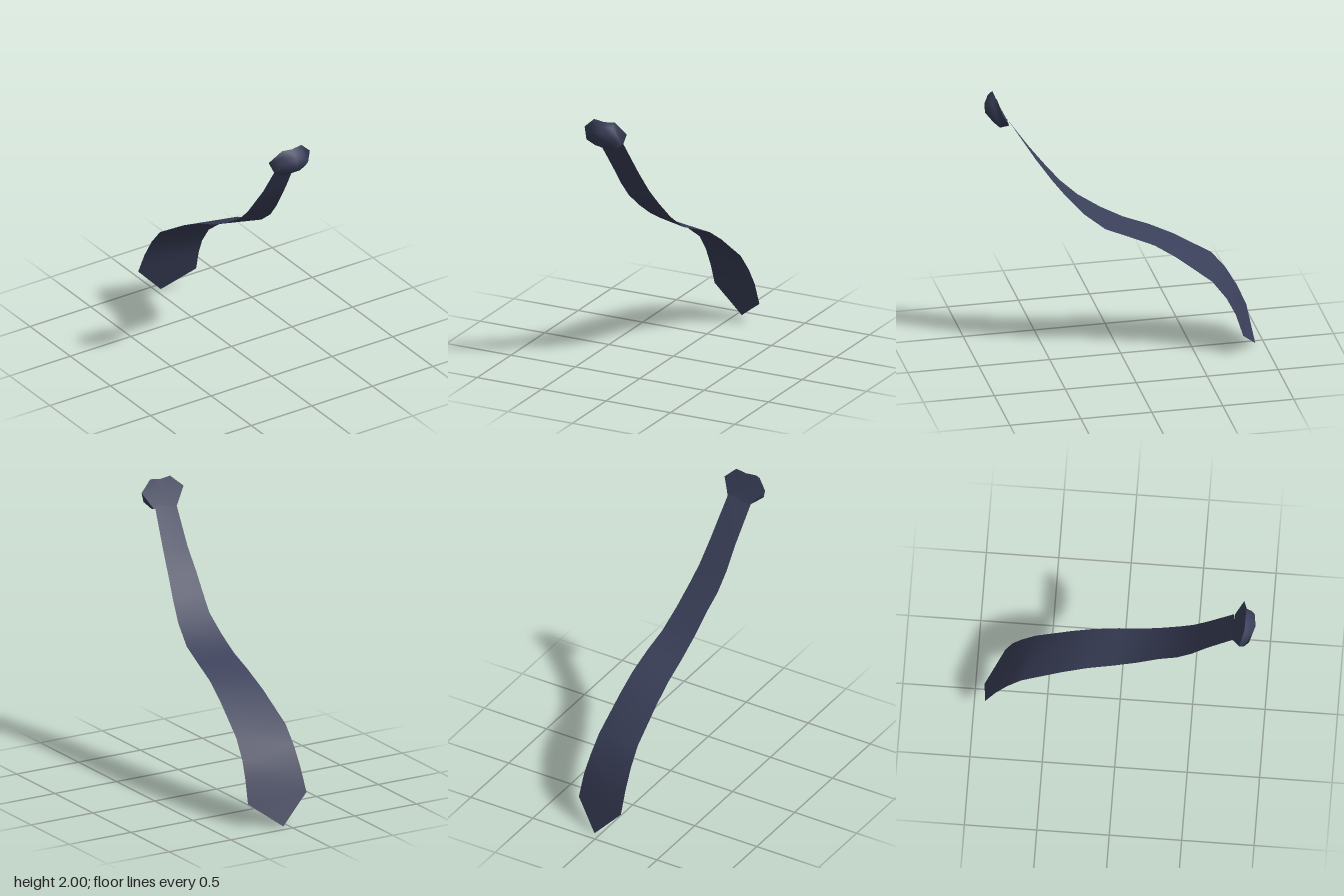
import * as THREE from 'three';

const navy = new THREE.MeshStandardMaterial({ color: 0x3b405a, side: THREE.DoubleSide });
navy.name = 'navy cloth';

function surface(name, points, faces) {
  const geo = new THREE.BufferGeometry();
  geo.setAttribute('position', new THREE.Float32BufferAttribute(points.flat(), 3));
  geo.setIndex(faces.flat());
  geo.computeVertexNormals();
  const mesh = new THREE.Mesh(geo, navy);
  mesh.name = name;
  return mesh;
}

// Fluttering blade: paired left and right edge points from knot to point
function blade() {
  const left = [
    [-0.165, 1.82, 0.80], [-0.145, 1.56, 0.615], [-0.145, 1.41, 0.50], [-0.135, 1.29, 0.40],
    [-0.115, 1.18, 0.28], [-0.115, 1.07, 0.12], [-0.115, 0.98, -0.04], [-0.12, 0.905, -0.22],
    [-0.13, 0.81, -0.40], [-0.145, 0.635, -0.67], [-0.15, 0.51, -0.77], [-0.155, 0.37, -0.85],
    [-0.16, 0.21, -0.92],
  ];
  const right = [
    [0.015, 1.83, 0.785], [0.052, 1.55, 0.61], [0.075, 1.39, 0.50], [0.10, 1.275, 0.41],
    [0.13, 1.14, 0.29], [0.155, 1.02, 0.14], [0.17, 0.955, -0.02], [0.18, 0.875, -0.20],
    [0.19, 0.775, -0.35], [0.21, 0.575, -0.60], [0.222, 0.44, -0.70], [0.235, 0.32, -0.76],
    [0.245, 0.16, -0.81],
  ];
  const n = left.length;
  const faces = [];
  for (let i = 0; i < n - 1; i++) {
    faces.push([i, n + i, i + 1], [i + 1, n + i, n + i + 1]);
  }
  faces.push([n - 1, 2 * n - 1, 2 * n]); // pointed end
  return surface('blade', [...left, ...right, [0.04, 0, -0.94]], faces);
}

// Knot: flat tilted back and a rounded front, lofted through rings
function knot() {
  const back = [
    [-0.16, 2.0, 0.87], [-0.08, 1.99, 0.87], [0, 2.0, 0.87], [0.083, 1.92, 0.85],
    [0.02, 1.81, 0.79], [-0.07, 1.81, 0.785], [-0.165, 1.81, 0.785], [-0.25, 1.92, 0.84],
  ];
  const middle = [
    [-0.17, 1.965, 0.90], [-0.08, 1.965, 0.90], [0, 1.965, 0.90], [0.055, 1.845, 0.87],
    [0, 1.79, 0.85], [-0.08, 1.785, 0.845], [-0.16, 1.80, 0.85], [-0.22, 1.84, 0.87],
  ];
  const front = [
    [-0.15, 1.92, 0.925], [-0.08, 1.935, 0.935], [-0.01, 1.925, 0.93], [0.03, 1.88, 0.905],
    [0, 1.835, 0.895], [-0.08, 1.82, 0.895], [-0.15, 1.835, 0.895], [-0.20, 1.88, 0.905],
  ];
  const n = back.length;
  const faces = [], backFaces = [];
  for (let i = 0; i < n; i++) {
    const j = (i + 1) % n;
    for (const r of [0, n]) {
      faces.push([r + i, r + n + i, r + n + j], [r + i, r + n + j, r + j]);
    }
    faces.push([3 * n, 2 * n + j, 2 * n + i]);
    backFaces.push([n, i, j]);
  }
  const group = new THREE.Group();
  group.name = 'knot';
  group.add(
    surface('knotFront', [...back, ...middle, ...front, [-0.08, 1.88, 0.94]], faces),
    surface('knotBack', [...back, [-0.08, 1.905, 0.832]], backFaces),
  );
  return group;
}

export function createModel() {
  const model = new THREE.Group();
  model.name = 'necktie';
  model.add(blade(), knot());
  return model;
}
